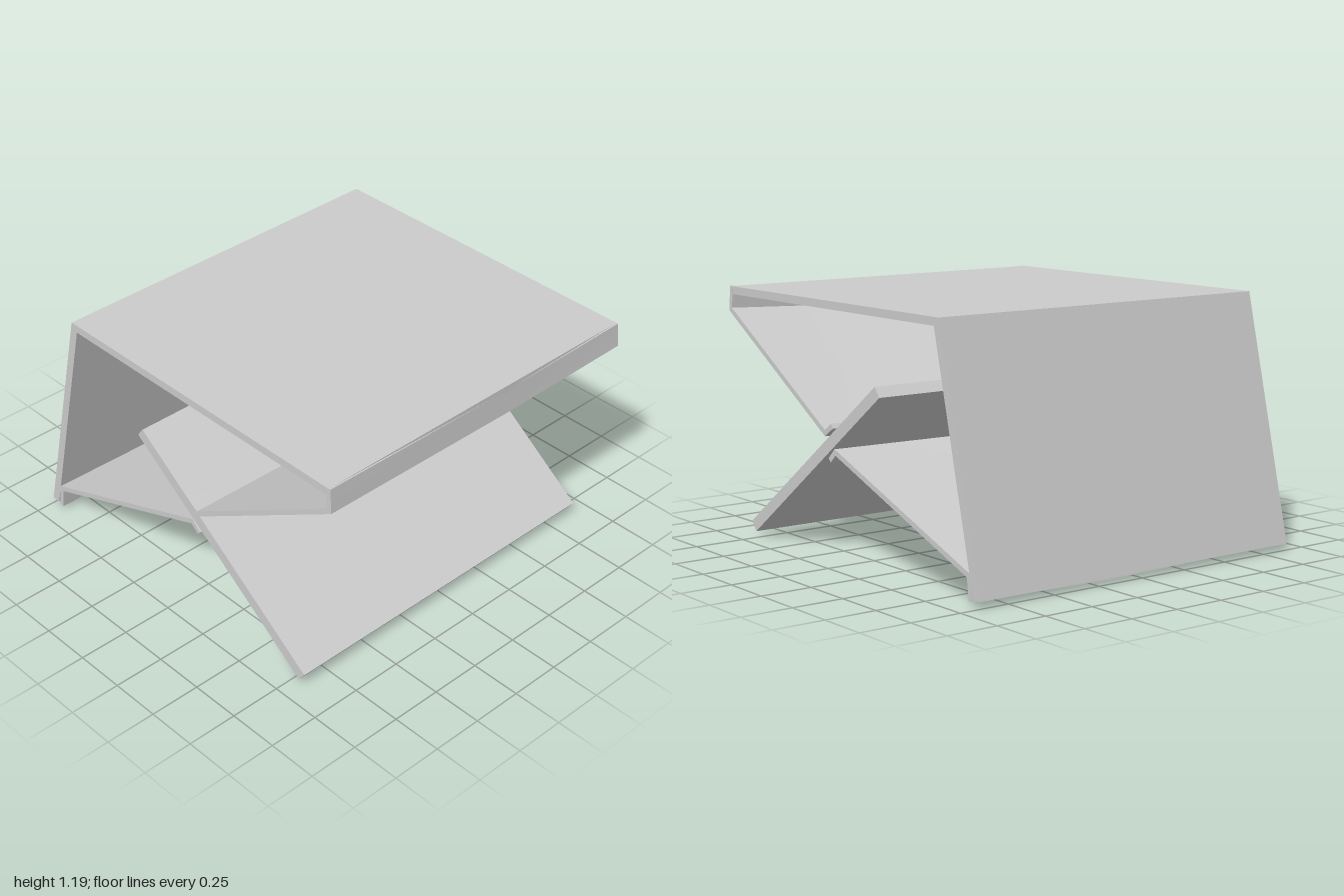
import * as THREE from 'three';
import { toCreasedNormals } from 'three/addons/utils/BufferGeometryUtils.js';

const HALF = 0.9; // half depth of every panel
const FOLD_Z = -0.17; // where the thin leaves sag most

const material = new THREE.MeshStandardMaterial({ color: 0xcccccc, side: THREE.DoubleSide });

function addMesh(group, name, geometry) {
  const mesh = new THREE.Mesh(geometry, material);
  mesh.name = name;
  group.add(mesh);
}

// Extrude an xy outline through the full depth
function prism(points) {
  const shape = new THREE.Shape(points.map(([x, y]) => new THREE.Vector2(x, y)));
  return new THREE.ExtrudeGeometry(shape, { depth: 2 * HALF, bevelEnabled: false }).translate(0, 0, -HALF);
}

// Thicken a centre line to both sides, with mitred corners
function thicken(line, thickness) {
  const pts = line.map(([x, y]) => new THREE.Vector2(x, y));
  const normal = (i) => {
    const d = pts[i + 1].clone().sub(pts[i]).normalize();
    return new THREE.Vector2(-d.y, d.x);
  };
  const left = [], right = [];
  pts.forEach((p, i) => {
    const a = normal(Math.max(i - 1, 0));
    const b = normal(Math.min(i, pts.length - 2));
    const m = a.clone().add(b).normalize();
    m.multiplyScalar(thickness / 2 / m.dot(a));
    left.push(p.clone().add(m));
    right.push(p.clone().sub(m));
  });
  return [...left, ...right.reverse()];
}

// Folded leaf: loft of a thick strip whose middle section is shifted by sag
function leaf(line, sag, flare, thickness) {
  const middle = line.map(([x, y], i) => [x + sag[i][0], y + sag[i][1]]);
  const n = line.length;
  const sections = [[line, -1], [middle, 0], [line, 1]].map(([l, side]) =>
    thicken(l, thickness).map((p, j) => {
      const i = j < n ? j : 2 * n - 1 - j;
      return [p.x, p.y, side === 0 ? FOLD_Z : side * (HALF + flare[i])];
    }));
  const positions = [];
  const quad = (a, b, c, d) => positions.push(...a, ...b, ...c, ...a, ...c, ...d);
  for (let k = 0; k < 2; k++) {
    const s = sections[k], t = sections[k + 1];
    for (let i = 0; i < 2 * n; i++) {
      const j = (i + 1) % (2 * n);
      quad(s[i], t[i], t[j], s[j]);
    }
  }
  // End caps
  const [back, , front] = sections;
  for (let i = 0; i < n - 1; i++) {
    const r = 2 * n - 1 - i;
    quad(front[i], front[r], front[r - 1], front[i + 1]);
    quad(back[i], back[i + 1], back[r - 1], back[r]);
  }
  const geometry = new THREE.BufferGeometry();
  geometry.setAttribute('position', new THREE.Float32BufferAttribute(positions, 3));
  return toCreasedNormals(geometry, Math.PI / 9);
}

export function createModel() {
  const group = new THREE.Group();
  group.name = 'foldedPanelTable';

  // Table top and sloping side wall in one bent sheet
  addMesh(group, 'topAndSideWall', prism([
    [-1, 0.03], [-0.955, 0.03], [-0.685, 1.155], [0.98, 1.155], [0.98, 1.193], [-0.72, 1.193],
  ]));

  // Straight slab crossing underneath
  addMesh(group, 'crossingSlab', prism([
    [-0.275, 0.8], [0.79, 0.02], [0.825, 0.067], [-0.24, 0.845],
  ]));

  // Upper leaf: end flap, long panel, inner hook
  addMesh(group, 'upperLeaf', leaf(
    [[0.977, 1.193], [0.985, 1.082], [0.142, 0.59], [0.083, 0.629]],
    [[-0.01, -0.025], [-0.015, -0.027], [0.004, -0.013], [0, -0.006]],
    [0, 0.003, 0.016, 0.016], 0.025));

  // Lower leaf: end flap, long panel, inner hook
  addMesh(group, 'lowerLeaf', leaf(
    [[-0.935, 0.02], [-0.923, 0.128], [0.085, 0.507], [0.13, 0.464]],
    [[-0.005, -0.018], [0.005, -0.018], [0.002, -0.009], [0.005, -0.007]],
    [0, 0, 0, 0], 0.025));

  return group;
}
